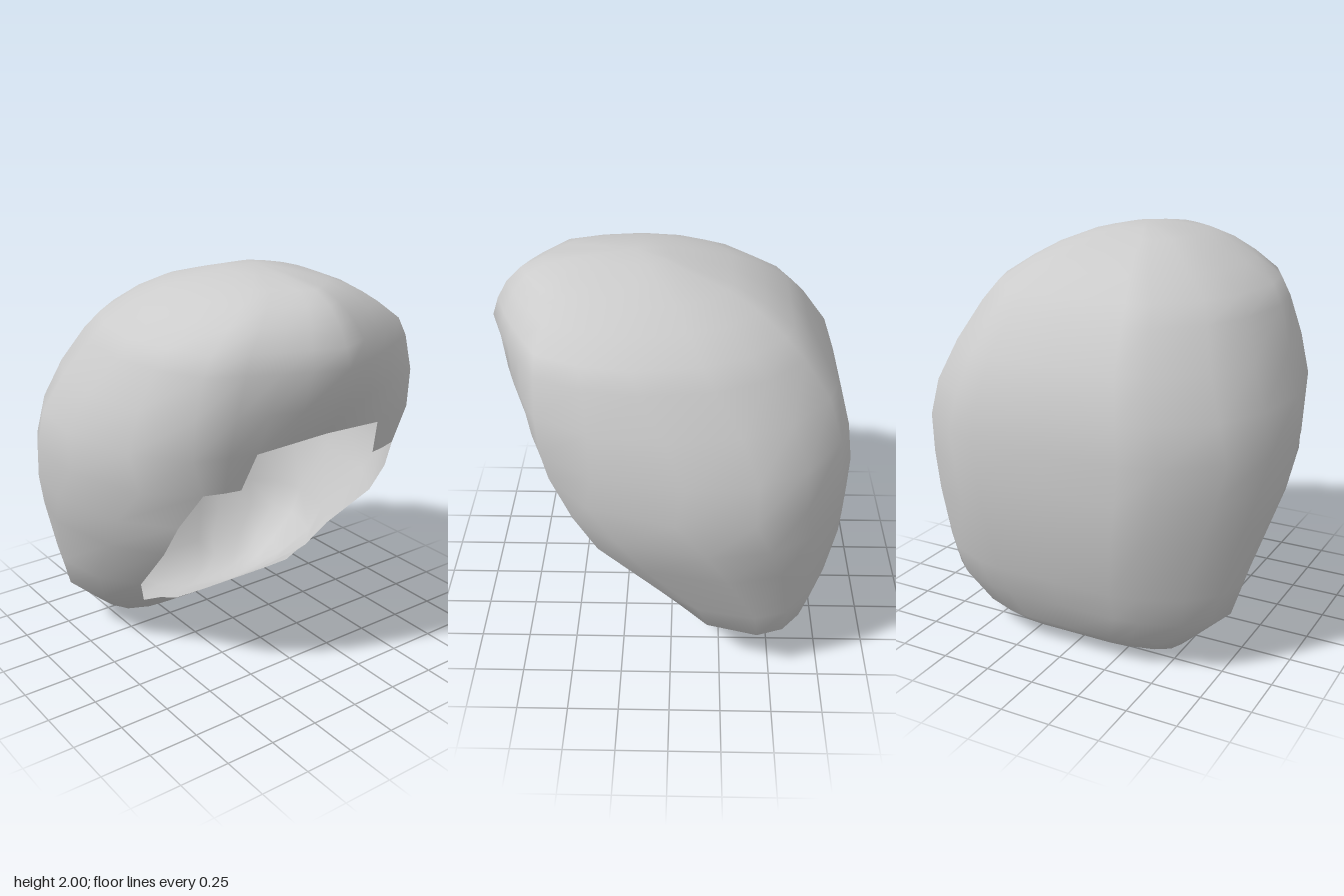
import * as THREE from 'three';

// Half outline of one horizontal ring, front centre -> side -> back centre.
// x is a fraction of the half width, z a fraction of the depth (+1 front, -1 back).
const POINTED = [[0, 1], [0.29, 0.9], [0.5, 0.8], [0.8, 0.64], [0.94, 0.34]];
const BLUNT = [[0, 1], [0.29, 1], [0.47, 0.99], [0.69, 0.92], [0.9, 0.6]];
const REAR = [[1, 0], [0.945, -0.42], [0.81, -0.71], [0.55, -0.94], [0.39, -1], [0, -1]];

// Rings from neck to crown:
// [y, half width, back z, widest z, front z, pointedness, inner edge x, outer edge x, centre lift]
const ROWS = [
  [0.01, 0.36, -0.53, -0.44, -0.35, 0],
  [0.05, 0.51, -0.59, -0.44, -0.29, 0],
  [0.13, 0.6, -0.68, -0.43, -0.17, 0],
  [0.275, 0.76, -0.735, -0.42, 0.01, 0, 0.37, 0.54, -0.025],
  [0.43, 0.81, -0.8, -0.38, 0.16, 0.1, 0.38, 0.61],
  [0.73, 0.89, -0.855, -0.26, 0.47, 0.2, 0.4, 0.65],
  [0.91, 0.93, -0.86, -0.2, 0.56, 0.2, 0.4, 0.64],
  [1.09, 0.95, -0.865, -0.17, 0.65, 0.2, 0.4, 0.575],
  [1.275, 0.915, -0.84, -0.1, 0.73, 0.35, 0.36, 0.64, 0.035],
  [1.47, 0.83, -0.775, 0.02, 0.83, 0.7],
  [1.65, 0.74, -0.65, 0.13, 0.87, 1],
  [1.74, 0.68, -0.56, 0.17, 0.84, 1],
  [1.83, 0.54, -0.43, 0.17, 0.79, 1],
  [1.9, 0.41, -0.28, 0.16, 0.72, 1],
  [1.95, 0.28, -0.1, 0.16, 0.62, 1],
  [1.98, 0.14, 0.02, 0.17, 0.4, 1],
];
const INNER = 2, OUTER = 4, HALF = 11, RING = HALF * 2;

// Half ring of points whose columns follow the edges of the face opening
function halfRing([y, w, back, mid, front, p, xa = 0.4 * w, xb, lift = 0]) {
  const outline = BLUNT.map(([x, z], i) => [
    x + (POINTED[i][0] - x) * p, z + (POINTED[i][1] - z) * p,
  ]).concat(REAR);
  const find = (x) => {
    let i = 0;
    while (i < 4 && outline[i + 1][0] < x) i++;
    return i + (x - outline[i][0]) / (outline[i + 1][0] - outline[i][0]);
  };
  const ua = find(xa / w);
  const ub = xb ? find(xb / w) : 3;
  const points = [];
  for (let k = 0; k <= HALF; k++) {
    const u = k <= INNER ? ua * k / INNER
      : k <= OUTER ? ua + (ub - ua) * (k - INNER) / (OUTER - INNER)
      : ub + (10 - ub) * (k - OUTER) / (HALF - OUTER);
    const i = Math.min(9, Math.floor(u));
    const [x, z] = [0, 1].map((c) => THREE.MathUtils.lerp(outline[i][c], outline[i + 1][c], u - i));
    const rise = lift < 0 ? (k <= INNER ? lift : 0) : lift * Math.max(0, 1 - k / INNER);
    points.push([x * w, y + rise, mid + z * (z > 0 ? front - mid : mid - back)]);
  }
  return points;
}

function shellGeometry() {
  const positions = [], index = [];
  for (const row of ROWS) {
    const half = halfRing(row);
    for (let k = 0; k < RING; k++) {
      const [x, y, z] = half[Math.min(k, RING - k)];
      positions.push(k > HALF ? -x : x, y, z);
    }
  }

  // Walls, leaving out the stepped face opening
  for (let r = 0; r < ROWS.length - 1; r++) {
    const open = r >= 3 && r < 7 ? OUTER : r === 7 ? INNER : 0;
    for (let k = 0; k < RING; k++) {
      if (k < open || k >= RING - open) continue;
      const n = (k + 1) % RING;
      const a = r * RING + k, b = r * RING + n;
      index.push(a, b, b + RING, a, b + RING, a + RING);
    }
  }

  // Neck cap and crown
  const bottom = positions.length / 3, top = bottom + 1;
  positions.push(0, 0, -0.44, 0, 2, 0.17);
  const last = (ROWS.length - 1) * RING;
  for (let k = 0; k < RING; k++) {
    const n = (k + 1) % RING;
    index.push(bottom, n, k, last + k, last + n, top);
  }

  const geometry = new THREE.BufferGeometry();
  geometry.setAttribute('position', new THREE.Float32BufferAttribute(positions, 3));
  geometry.setIndex(index);
  geometry.computeVertexNormals();
  return geometry;
}

export function createModel() {
  const group = new THREE.Group();
  group.name = 'openFacedHood';
  const material = new THREE.MeshStandardMaterial({ color: 0xcccccc, side: THREE.DoubleSide });
  const shell = new THREE.Mesh(shellGeometry(), material);
  shell.name = 'hoodShell';
  group.add(shell);
  return group;
}
